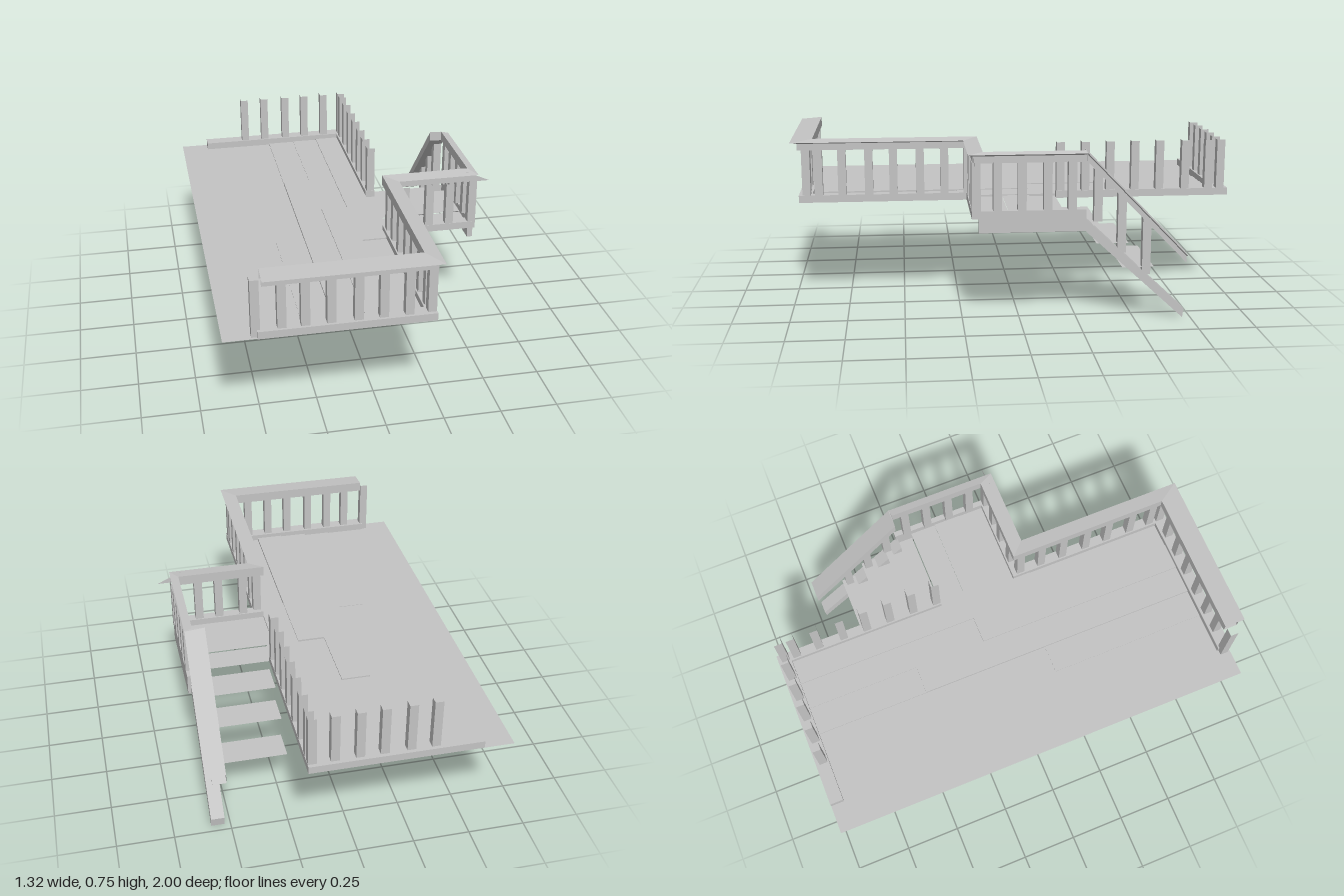
import * as THREE from 'three';

export function createModel() {
  const model = new THREE.Group();
  const grey = new THREE.MeshStandardMaterial({ color: 0xc4c4c4 });
  grey.name = 'grey';
  const greySheet = new THREE.MeshStandardMaterial({ color: 0xc4c4c4, side: THREE.DoubleSide });
  greySheet.name = 'grey sheet';

  const add = (name, geometry, material = grey, parent = model) => {
    const mesh = new THREE.Mesh(geometry, material);
    mesh.name = name;
    parent.add(mesh);
    return mesh;
  };
  const group = (name) => {
    const g = new THREE.Group();
    g.name = name;
    model.add(g);
    return g;
  };
  // Box given by its limits
  const block = (name, [x0, x1], [y0, y1], [z0, z1], parent) =>
    add(name, new THREE.BoxGeometry(x1 - x0, y1 - y0, z1 - z0)
      .translate((x0 + x1) / 2, (y0 + y1) / 2, (z0 + z1) / 2), grey, parent);
  // Flat horizontal sheet given by its limits
  const sheet = (name, [x0, x1], y, [z0, z1], parent) =>
    add(name, new THREE.PlaneGeometry(x1 - x0, z1 - z0).rotateX(-Math.PI / 2)
      .translate((x0 + x1) / 2, y, (z0 + z1) / 2), greySheet, parent);
  // Square post without end caps
  const post = (x, z, y0, y1, parent) =>
    add('post', new THREE.CylinderGeometry(0.026, 0.026, y1 - y0, 4, 1, true).toNonIndexed()
      .rotateY(Math.PI / 4).translate(x, (y0 + y1) / 2, z), grey, parent).geometry.computeVertexNormals();

  // Deck floor, with boards at slightly different heights
  sheet('deckFloor', [-0.66, 0.2], 0.467, [-1, 0.96]);
  const boards = group('deckBoards');
  [
    [-0.33, -0.2, 0.17, 0.905, 0.47],
    [-0.2, -0.07, -0.94, -0.42, 0.472], [-0.2, -0.07, -0.42, 0.905, 0.478],
    [-0.07, 0.055, -0.94, -0.085, 0.474], [-0.07, 0.055, -0.085, 0.905, 0.482],
    [0.055, 0.17, -0.94, 0.25, 0.478], [0.055, 0.17, 0.25, 0.905, 0.472],
  ].forEach(([x0, x1, z0, z1, y]) => block('board', [x0, x1], [0.468, y], [z0, z1], boards));

  // Landing boards
  const landing = group('landing');
  [[-0.2, -0.08, 0.468], [-0.08, 0.045, 0.474], [0.045, 0.17, 0.47]].forEach(([z0, z1, y]) =>
    sheet('landingBoard', [0.17, 0.575], y, [z0, z1], landing));

  // Bottom rails around the edge
  const base = group('bottomRails');
  const baseY = [0.467, 0.5];
  block('frontBottomRail', [-0.52, 0.215], baseY, [0.905, 0.965], base);
  block('sideBottomRail', [0.17, 0.215], baseY, [0.18, 0.905], base);
  block('landingFrontBottomRail', [0.17, 0.6], baseY, [0.165, 0.21], base);
  block('landingSideBoard', [0.575, 0.6], [0.405, 0.5], [-0.28, 0.18], base);
  block('rearSideBottomRail', [0.17, 0.215], baseY, [-1, -0.2], base);
  block('backBottomRail', [-0.53, 0.17], baseY, [-1, -0.94], base);

  // Posts
  const posts = group('railingPosts');
  const rowX = [-0.42, -0.325, -0.22, -0.108, -0.005, 0.1];
  post(-0.525, 0.93, 0.467, 0.725, posts);
  post(0.195, 0.93, 0.467, 0.725, posts);
  rowX.forEach((x) => post(x, 0.935, 0.5, 0.7, posts));
  [...rowX.slice(1), 0.195].forEach((x) => post(x, -0.965, 0.5, 0.725, posts));
  [0.875, 0.77, 0.65, 0.54, 0.42, 0.31, 0.205].forEach((z) => post(0.195, z, 0.5, 0.71, posts));
  [-0.22, -0.335, -0.45, -0.565, -0.68, -0.8, -0.91].forEach((z) => post(0.195, z, 0.5, 0.725, posts));
  [0.265, 0.38, 0.475].forEach((x) => post(x, 0.19, 0.5, 0.7, posts));
  [0.19, 0.1, -0.005, -0.115, -0.22].forEach((z) => post(0.582, z, 0.5, 0.71, posts));
  [[-0.335, 0.44, 0.67], [-0.44, 0.3, 0.56], [-0.55, 0.2, 0.45]].forEach(([z, y0, y1]) =>
    post(0.56, z, y0, y1, posts));

  // Handrail: one profile lofted through mitred corners, then down the stairs
  // station: inner x, inner z, outer x, outer z, drop
  const stations = [
    [-0.5, 0.9, -0.5, 0.997, 0],
    [0.165, 0.9, 0.23, 0.997, 0],
    [0.165, 0.16, 0.23, 0.225, 0],
    [0.565, 0.16, 0.6, 0.225, 0],
    [0.565, -0.28, 0.6, -0.28, 0],
    [0.51, -0.285, 0.6, -0.285, 0],
    [0.51, -0.73, 0.6, -0.73, 0.46],
  ];
  const profile = [[0, 0.705], [0.68, 0.705], [0.68, 0.735], [1, 0.742], [0, 0.75]];
  const at = (s, [t, y]) => [s[0] + (s[2] - s[0]) * t, y - s[4], s[1] + (s[3] - s[1]) * t];
  const rail = [];
  for (let i = 0; i + 1 < stations.length; i++) {
    profile.forEach((p, j) => {
      const q = profile[(j + 1) % profile.length];
      const a = at(stations[i], p), b = at(stations[i], q);
      const c = at(stations[i + 1], q), d = at(stations[i + 1], p);
      rail.push(...a, ...d, ...c, ...a, ...c, ...b);
    });
  }
  const railGeometry = new THREE.BufferGeometry();
  railGeometry.setAttribute('position', new THREE.Float32BufferAttribute(rail, 3));
  railGeometry.computeVertexNormals();
  add('handrail', railGeometry, greySheet);

  // Loose tips where the handrail overshoots
  const tip = new THREE.Shape([[0.55, 0.7], [0.66, 0.7], [0.55, 0.75]].map((p) => new THREE.Vector2(...p)));
  add('landingRailTip', new THREE.ShapeGeometry(tip).translate(0, 0, 0.2), greySheet);
  add('frontRailTip', new THREE.PlaneGeometry(0.075, 0.06).rotateX(Math.PI / 2).translate(-0.5375, 0.701, 0.935));

  // Stairs: thin treads and one sloping stringer
  const stairs = group('stairs');
  [[0.423, -0.2, -0.345], [0.342, -0.33, -0.47], [0.232, -0.445, -0.585]].forEach(([y, z1, z0]) =>
    sheet('tread', [0.215, 0.575], y, [z0, z1], stairs));
  const side = new THREE.Shape([[0.27, 0.41], [0.715, 0], [0.72, 0.04], [0.27, 0.465]]
    .map((p) => new THREE.Vector2(...p)));
  add('stringer', new THREE.ExtrudeGeometry(side, { depth: 0.06, bevelEnabled: false })
    .rotateY(Math.PI / 2).translate(0.525, 0, 0), grey, stairs);

  return model;
}
